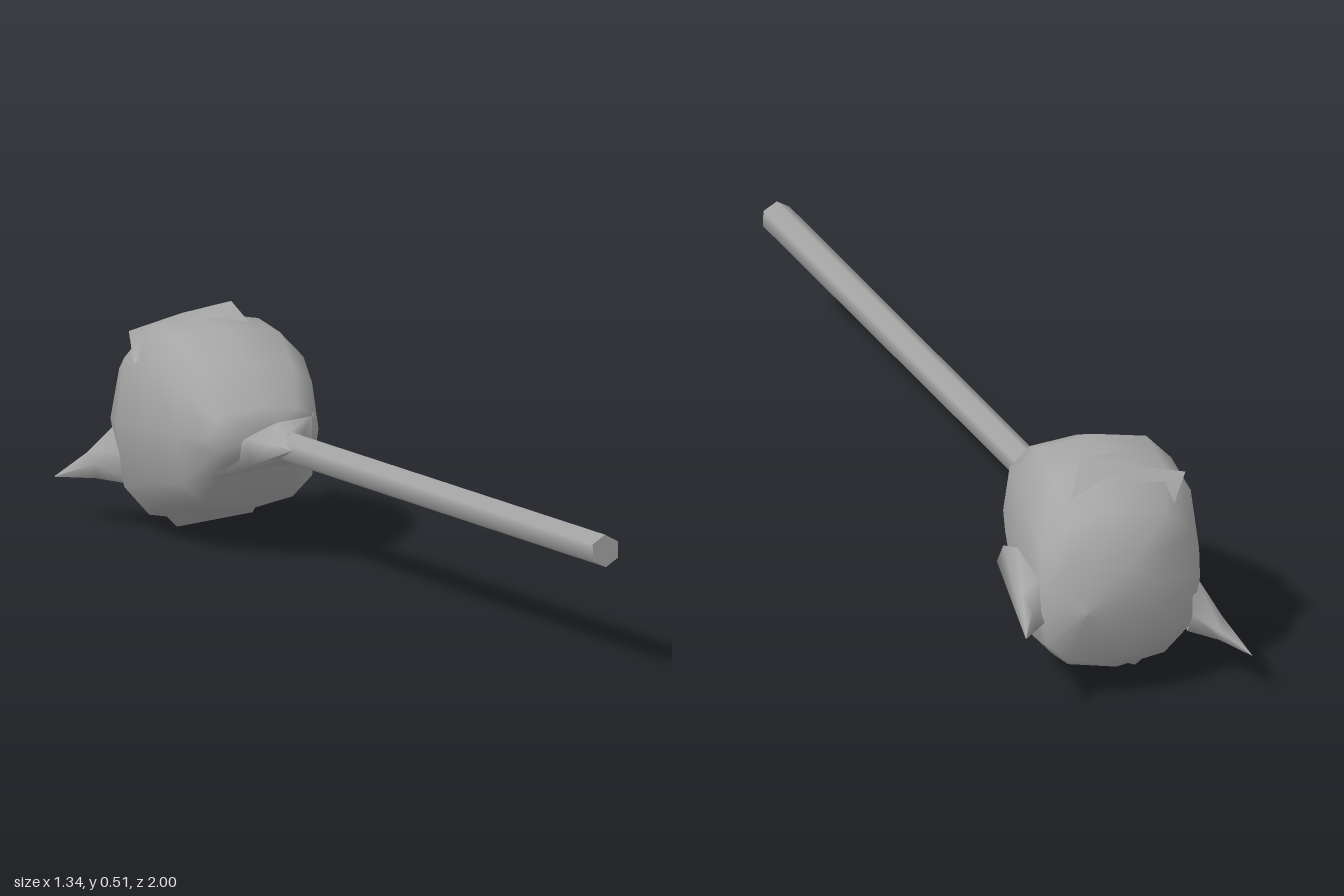
import * as THREE from 'three';

const grey = new THREE.MeshStandardMaterial({ color: 0xa6a6a6, side: THREE.DoubleSide });
grey.name = 'grey';

// Surface through equal-length rows of points
function skin(name, rows, closed) {
  const n = rows[0].length, index = [];
  for (let i = 0; i < rows.length - 1; i++) {
    for (let j = 0; j < (closed ? n : n - 1); j++) {
      const a = i * n + j, b = i * n + (j + 1) % n;
      index.push(a, a + n, b, b, a + n, b + n);
    }
  }
  const g = new THREE.BufferGeometry();
  g.setAttribute('position', new THREE.Float32BufferAttribute(rows.flat(2), 3));
  g.setIndex(index);
  g.computeVertexNormals();
  const mesh = new THREE.Mesh(g, grey);
  mesh.name = name;
  return mesh;
}

// Ring of the flower: centre, half width, half height, turn about y, squareness (lower is squarer)
function ring([x, y, z, w, h, turn, power], n = 12) {
  const soft = (v) => Math.sign(v) * Math.abs(v) ** power;
  return Array.from({ length: n }, (_, k) => {
    const t = (k / n) * Math.PI * 2;
    const s = soft(Math.cos(t)) * w;
    return [x + s * Math.cos(turn), y + soft(Math.sin(t)) * h, z - s * Math.sin(turn)];
  });
}

// Petal or calyx drawn from a base loop to a point, slightly hollowed
function pointed(name, loop, tip, hollow) {
  const c = [0, 1, 2].map((k) => loop.reduce((s, p) => s + p[k], 0) / loop.length);
  const mid = loop.map((p) => p.map((v, k) => (v + tip[k]) / 2 + (c[k] - v) * hollow));
  return skin(name, [loop, mid, loop.map(() => tip)], true);
}

export function createModel() {
  const model = new THREE.Group();
  model.name = 'rose';

  // Six-sided stem
  const from = new THREE.Vector3(0.638, 0.268, 0.98), to = new THREE.Vector3(-0.13, 0.258, -0.28);
  const dir = to.clone().sub(from);
  const stem = new THREE.Mesh(
    new THREE.CylinderGeometry(0.036, 0.037, dir.length(), 6, 1, false, Math.PI / 6), grey);
  stem.name = 'stem';
  stem.position.copy(from).add(to).multiplyScalar(0.5);
  stem.quaternion.setFromUnitVectors(new THREE.Vector3(0, 1, 0), dir.normalize());
  model.add(stem);

  // Calyx where the stem meets the flower
  model.add(pointed('calyx', [
    [-0.22, 0.28, -0.25], [-0.15, 0.31, -0.29], [-0.07, 0.325, -0.34],
    [-0.07, 0.22, -0.34], [-0.13, 0.2, -0.34], [-0.3, 0.18, -0.28],
  ], [-0.11, 0.265, -0.19], 0));

  // Flower body, facing along the stem and rounded over at the end
  model.add(skin('outerPetals', [
    [-0.18, 0.28, -0.275, 0, 0, 0.43, 0.7],
    [-0.18, 0.285, -0.275, 0.13, 0.06, 0.43, 0.7],
    [-0.222, 0.265, -0.39, 0.17, 0.165, 0.4, 0.65],
    [-0.272, 0.275, -0.5, 0.202, 0.212, 0.4, 0.7],
    [-0.33, 0.252, -0.655, 0.21, 0.236, 0.42, 0.68],
    [-0.362, 0.24, -0.77, 0.195, 0.195, 0.42, 0.8],
    [-0.335, 0.215, -0.85, 0.135, 0.125, 0.32, 0.85],
    [-0.31, 0.22, -0.88, 0, 0, 0.3, 0.85],
  ].map((r) => ring(r)), true));

  // Curled petal tips on both sides
  model.add(pointed('rightCurledPetal', [
    [-0.52, 0.24, -0.66], [-0.465, 0.2, -0.52], [-0.47, 0.11, -0.57],
    [-0.51, 0.1, -0.68], [-0.53, 0.17, -0.74],
  ], [-0.67, 0.09, -0.77], 0.1));
  model.add(pointed('leftCurledPetal', [
    [-0.14, 0.22, -0.66], [-0.08, 0.24, -0.67], [-0.1, 0.3, -0.71], [-0.14, 0.325, -0.77],
    [-0.2, 0.29, -0.86], [-0.22, 0.2, -0.88], [-0.17, 0.2, -0.74],
  ], [-0.19, 0.21, -1], 0));

  // Folded petals above and below
  model.add(skin('topPetal', [
    [[-0.2, 0.45, -0.58], [-0.35, 0.475, -0.55], [-0.48, 0.4, -0.5]],
    [[-0.27, 0.51, -0.68], [-0.38, 0.487, -0.65], [-0.495, 0.455, -0.6]],
    [[-0.25, 0.41, -0.79], [-0.36, 0.42, -0.76], [-0.47, 0.38, -0.71]],
  ], false));
  model.add(skin('bottomPetal', [
    [[-0.44, 0.12, -0.52], [-0.35, 0.07, -0.53], [-0.2, 0.09, -0.55]],
    [[-0.46, 0.07, -0.66], [-0.39, 0, -0.66], [-0.22, 0.04, -0.63]],
    [[-0.46, 0.1, -0.73], [-0.36, 0.07, -0.79], [-0.23, 0.11, -0.8]],
  ], false));

  return model;
}
